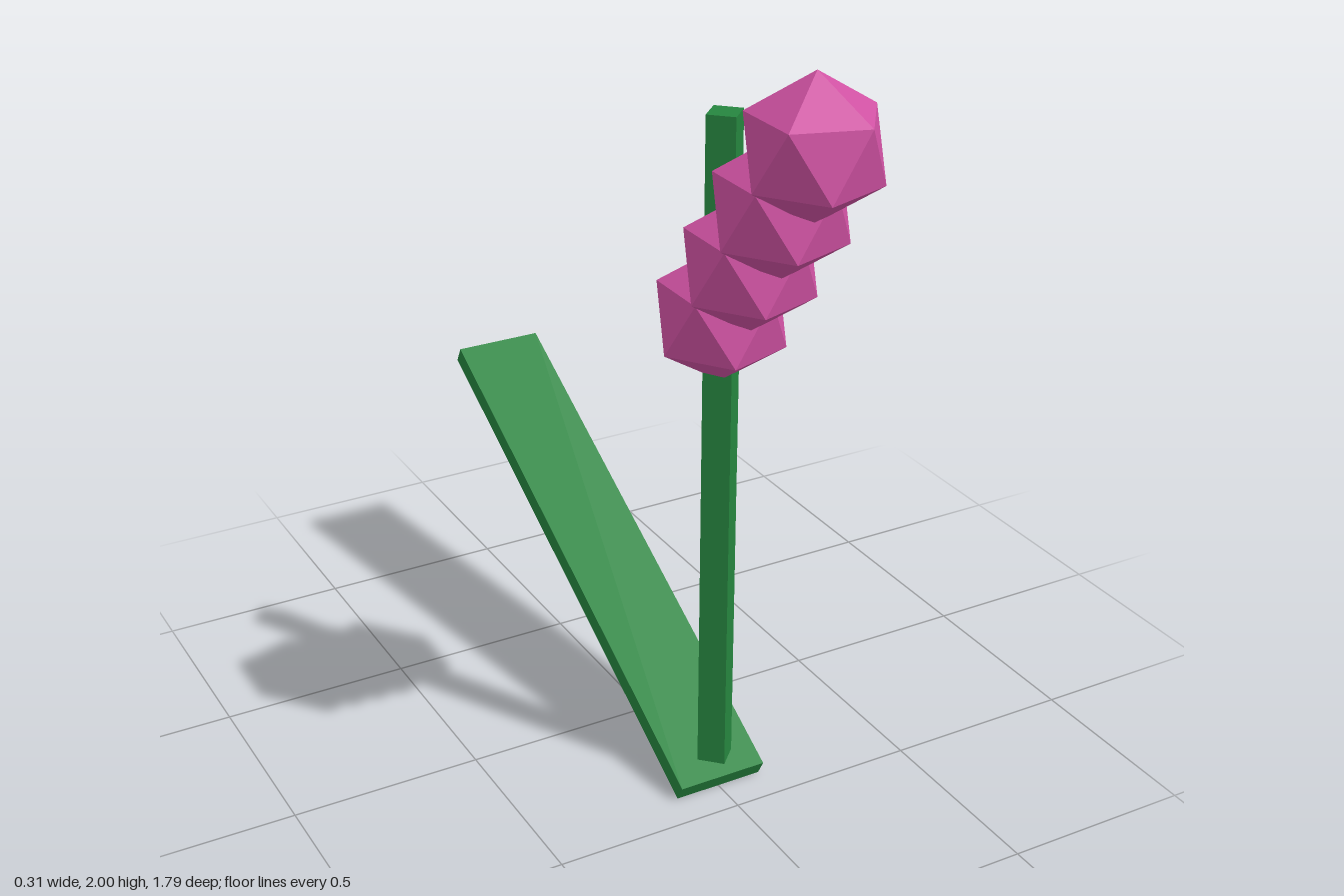
import * as THREE from 'three';

const green = new THREE.MeshStandardMaterial({ color: 0x26853f });
green.name = 'leafGreen';
const pink = new THREE.MeshStandardMaterial({ color: 0xd052a3 });
pink.name = 'blossomPink';
green.flatShading = pink.flatShading = true;

const STEM_Z = 0.38;

export function createModel() {
  const model = new THREE.Group();
  model.name = 'flower';

  const add = (name, geometry, material, x, y, z) => {
    const mesh = new THREE.Mesh(geometry, material);
    mesh.name = name;
    mesh.position.set(x, y, z);
    model.add(mesh);
    return mesh;
  };

  // Upright four-sided stem
  const bottom = 0.083, top = 1.805;
  add('stem', new THREE.CylinderGeometry(0.05, 0.05, top - bottom, 4), green, 0, (top + bottom) / 2, STEM_Z);

  // Long flat leaf rising towards the back
  const leaf = add('leaf', new THREE.BoxGeometry(0.24, 0.049, 1.478), green, 0, 0.376, -0.235);
  leaf.rotation.x = 0.5;

  // Blossoms leaning forward; each icosahedron stands on a corner
  const blossom = new THREE.IcosahedronGeometry(0.171, 0);
  blossom.rotateZ(-Math.atan(2 / (1 + Math.sqrt(5))));
  for (let i = 0; i < 4; i++) {
    add(`blossom${i + 1}`, blossom, pink, 0, 1.313 + i * 0.172, STEM_Z + i * 0.1225);
  }

  return model;
}
